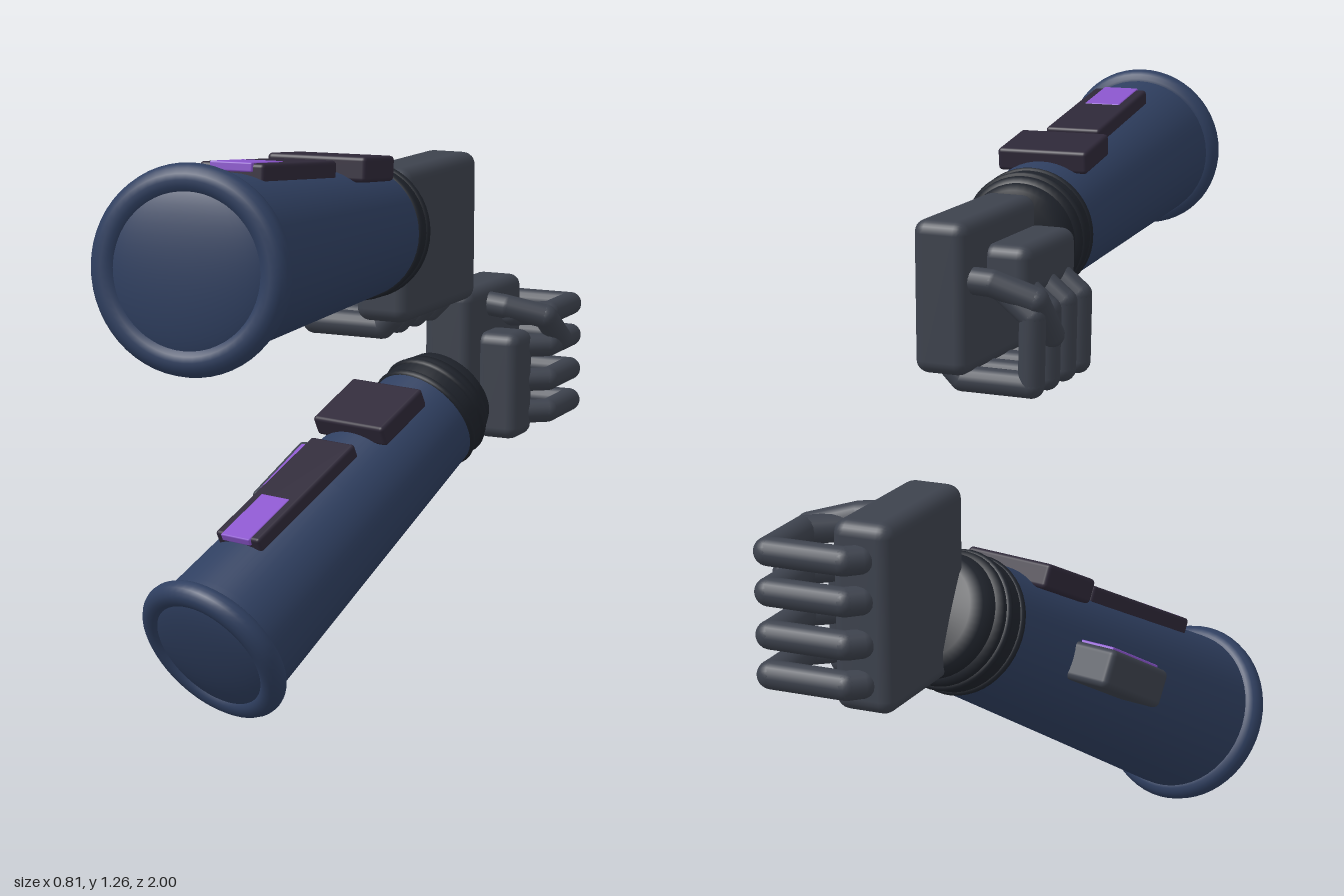
import * as THREE from 'three';
import { RoundedBoxGeometry } from 'three/addons/geometries/RoundedBoxGeometry.js';

const mat = (color) => new THREE.MeshStandardMaterial({ color });
const navy = mat(0x2f3f60), dark = mat(0x1e222a), grey = mat(0x3d424d);
const plate = mat(0x2e2838), purple = mat(0x8a55cc);

function add(parent, name, geometry, material, x = 0, y = 0, z = 0) {
  const mesh = new THREE.Mesh(geometry, material);
  mesh.name = name;
  mesh.position.set(x, y, z);
  parent.add(mesh);
  return mesh;
}

const box = (w, h, d, r) => new RoundedBoxGeometry(w, h, d, 3, r);

// Profile of [radius, distance from the base], turned about the arm's axis
function turned(profile) {
  const points = profile.map(([r, t]) => new THREE.Vector2(r, t));
  return new THREE.LatheGeometry(points, 48).rotateX(-Math.PI / 2);
}

// Capsules joined end to end through the given points
function digit(parent, name, points, radius) {
  const group = new THREE.Group();
  group.name = name;
  for (let i = 1; i < points.length; i++) {
    const a = points[i - 1], b = points[i];
    const dir = b.clone().sub(a);
    const seg = add(group, name + 'Segment', new THREE.CapsuleGeometry(radius, dir.length(), 6, 16), grey);
    seg.position.copy(a).add(b).multiplyScalar(0.5);
    seg.quaternion.setFromUnitVectors(new THREE.Vector3(0, 1, 0), dir.normalize());
  }
  parent.add(group);
}

// Forearm: local +z points to the base, -z to the wrist
function createForearm(name, base, direction) {
  const arm = new THREE.Group();
  arm.name = name;

  // Tapered sleeve with a rounded, flared base
  add(arm, 'sleeve', turned([[0.15, 0], [0.15, 0.04], [0.135, 0.4], [0.12, 0.77]]), navy);
  add(arm, 'baseRim', new THREE.TorusGeometry(0.145, 0.026, 16, 56), navy);
  add(arm, 'baseCap', new THREE.SphereGeometry(0.15, 48, 24), navy).scale.z = 0.23;

  // Wrist cuff and rounded end
  add(arm, 'cuff', turned([[0.117, 0.755], [0.122, 0.76], [0.12, 0.82], [0.113, 0.835], [0.09, 0.837]]), dark);
  for (const t of [0.765, 0.805])
    add(arm, 'cuffRing', new THREE.TorusGeometry(0.117, 0.009, 10, 48), dark, 0, 0, -t);
  add(arm, 'wristEnd', turned([[0.112, 0.82], [0.111, 0.84], [0.103, 0.86], [0.085, 0.874], [0, 0.88]]), dark);

  // Plates lying along the top of the sleeve
  const slope = -0.043;
  add(arm, 'shortPlate', box(0.185, 0.045, 0.15, 0.008), plate, 0, 0.126, -0.622).rotation.x = slope;
  add(arm, 'longPlate', box(0.115, 0.034, 0.335, 0.007), plate, 0, 0.137, -0.33).rotation.x = slope;
  add(arm, 'plateLight', box(0.075, 0.016, 0.14, 0.003), purple, 0, 0.152, -0.228).rotation.x = slope;

  arm.position.copy(base);
  arm.lookAt(base.clone().sub(direction));
  return arm;
}

// Hand: fingers towards -z, thumb on top; m mirrors the palm side
function createHand(name, m) {
  const hand = new THREE.Group();
  hand.name = name;
  const p = (x, y, z) => new THREE.Vector3(m * x, y, z);

  add(hand, 'palm', box(0.11, 0.33, 0.29, 0.025), grey);
  add(hand, 'palmPad', box(0.1, 0.23, 0.1, 0.025), grey, m * 0.09, -0.045, 0.04);

  // Four curled fingers
  for (const y of [0.103, 0.033, -0.042, -0.112])
    digit(hand, 'finger', [p(0, y, -0.14), p(0.02, y, -0.16), p(0.16, y, -0.16), p(0.163, y, -0.03), p(0.1, y, 0.02)], 0.025);
  // Thumb folded across the fingers
  digit(hand, 'thumb', [p(0.02, 0.128, 0.035), p(0.09, 0.12, 0.03), p(0.168, 0.1, 0), p(0.172, 0.04, -0.075)], 0.026);
  return hand;
}

export function createModel() {
  const model = new THREE.Group();
  model.name = 'pairOfArms';

  // Raised left arm, its fist turned down
  const left = createForearm('leftForearm', new THREE.Vector3(0.235, 1.09, 0.965), new THREE.Vector3(-0.085, -0.05, -0.865));
  const leftHand = createHand('leftHand', -1);
  leftHand.position.set(0.145, 1, -0.087);
  leftHand.rotation.x = -Math.PI / 2;

  // Lower right arm, rising towards the back
  const right = createForearm('rightForearm', new THREE.Vector3(-0.24, 0.157, 0.03), new THREE.Vector3(0.206, 0.472, -0.858));
  const rightHand = createHand('rightHand', 1);
  rightHand.position.set(-0.052, 0.624, -0.811);

  // Module on the outer side of the right sleeve
  add(right, 'sideModule', box(0.1, 0.07, 0.19, 0.012), grey, -0.158, 0, -0.504);
  add(right, 'sideLight', box(0.075, 0.012, 0.155, 0.003), purple, -0.153, 0.034, -0.504);

  model.add(left, leftHand, right, rightHand);
  return model;
}
